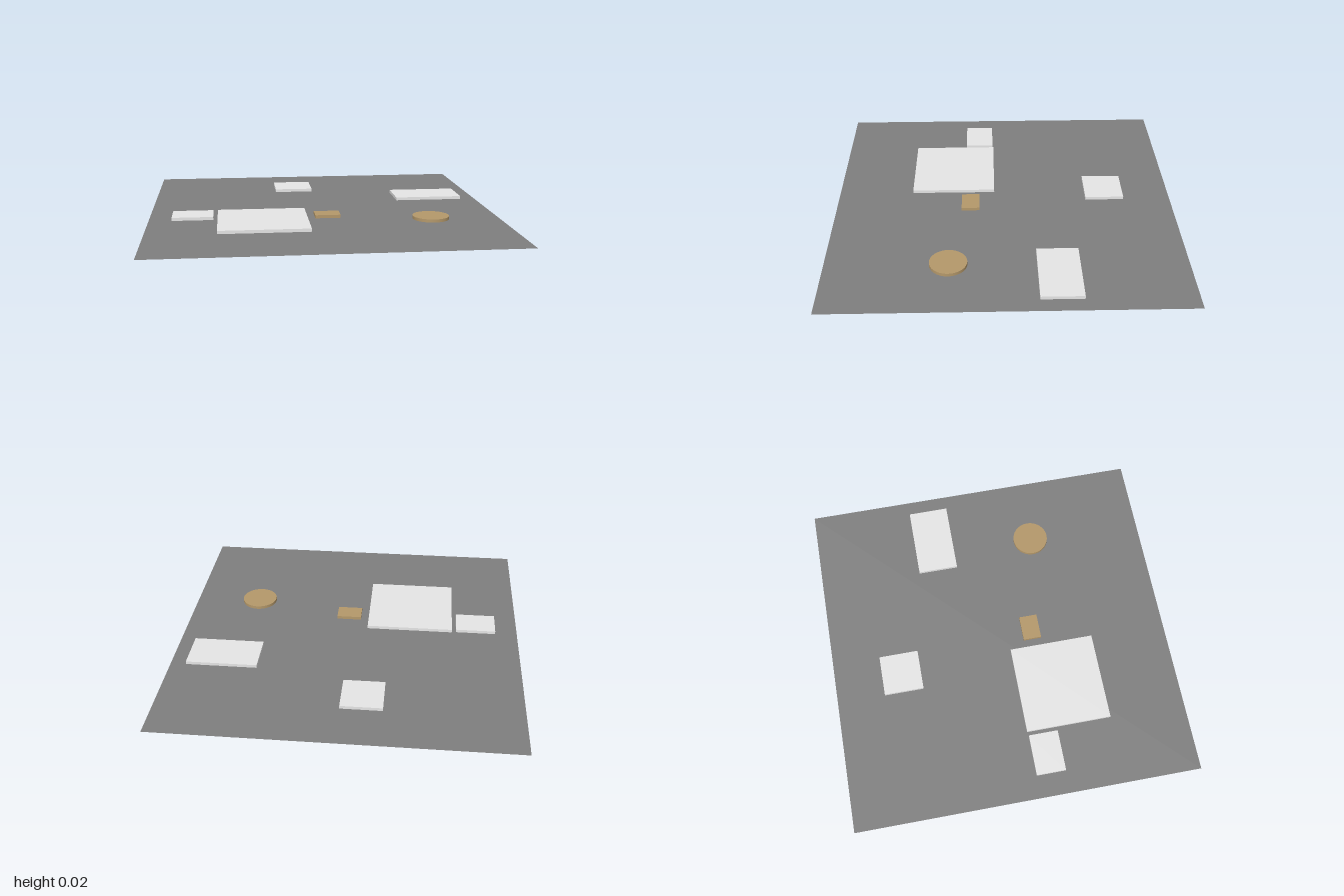
import * as THREE from 'three';

const mat = (name, color, extra = {}) => {
  const m = new THREE.MeshStandardMaterial({ color, ...extra });
  m.name = name;
  return m;
};

export function createModel() {
  const group = new THREE.Group();
  const grey = mat('floor grey', 0x7f7f7f, { side: THREE.DoubleSide });
  const white = mat('pale grey', 0xe6e6e6);
  const tan = mat('tan', 0xb4986a);
  const height = 0.02;

  const add = (name, geometry, material, x, y, z) => {
    const mesh = new THREE.Mesh(geometry, material);
    mesh.name = name;
    mesh.position.set(x, y, z);
    group.add(mesh);
    return mesh;
  };

  // Thin ground sheet, just above the undersides of the blocks
  add('groundSheet', new THREE.PlaneGeometry(2, 2).rotateX(-Math.PI / 2), grey, 0, 0.002, 0);

  // Low rectangular blocks: name, x range, z range, material
  const blocks = [
    ['largeBlock', -0.61, -0.1, 0.06, 0.555, white],
    ['sideBlock', -0.87, -0.635, 0.065, 0.235, white],
    ['backBlock', -0.24, -0.005, -0.72, -0.49, white],
    ['longBlock', 0.5, 0.91, -0.4, -0.165, white],
    ['smallTanBlock', -0.052, 0.094, 0.15, 0.256, tan],
  ];
  for (const [name, x0, x1, z0, z1, material] of blocks) {
    add(name, new THREE.BoxGeometry(x1 - x0, height, z1 - z0), material,
      (x0 + x1) / 2, height / 2, (z0 + z1) / 2);
  }

  // Low round disc
  add('roundDisc', new THREE.CylinderGeometry(0.105, 0.105, height, 32), tan, 0.607, height / 2, 0.32);

  return group;
}
